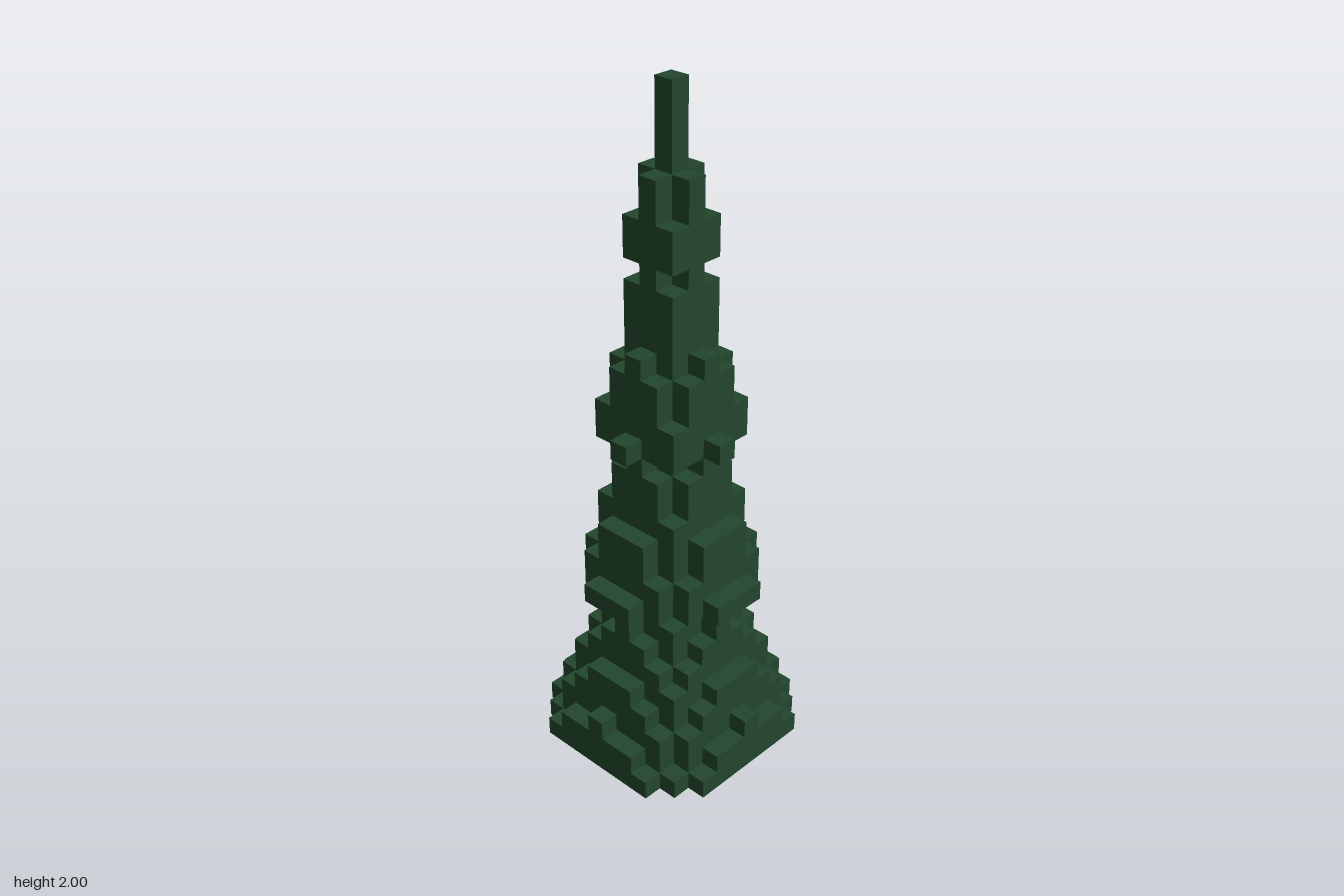
import * as THREE from 'three';
import { mergeGeometries } from 'three/addons/utils/BufferGeometryUtils.js';

const V = 2 / 39; // edge of one block
const TRUNK_LAYERS = 5;

// Disc radius, in blocks, of each foliage layer; one row per tier of branches
const TIERS = [
  [5.9, 5.49, 5.08, 4.67, 4.26, 3.85, 3.44, 3.03, 2.62],
  [4.15, 3.85, 3.55, 3.25, 2.95, 2.65, 2.35, 2.05],
  [3.1, 2.85, 2.6, 2.3, 2.05, 1.8, 1.6, 1.45, 1.05],
  [1.8, 1.55, 1.3, 1.05, 0.8, 0.6, 0.4, 0.2],
];

// Stepped outline of a disc made of whole blocks, one block thick
function blockDisc(radius, layer) {
  const n = Math.floor(radius);
  const right = [];
  for (let row = -n; row <= n; row++) {
    const half = Math.floor(Math.sqrt(radius * radius - row * row)) + 0.5;
    right.push([half, row - 0.5], [half, row + 0.5]);
  }
  const left = right.map(([x, y]) => [-x, y]).reverse();
  // drop repeated points and points along straight runs
  const loop = [...right, ...left].filter(([x, y], i, all) => {
    const [px, py] = all[(i + all.length - 1) % all.length];
    const [nx, ny] = all[(i + 1) % all.length];
    return !(px === x && nx === x) && !(py === y && ny === y);
  });
  const shape = new THREE.Shape(loop.map(([x, y]) => new THREE.Vector2(x * V, y * V)));
  return new THREE.ExtrudeGeometry(shape, { depth: V, bevelEnabled: false })
    .rotateX(-Math.PI / 2)
    .translate(0, layer * V, 0);
}

export function createModel() {
  const needles = new THREE.MeshStandardMaterial({ color: 0x22462d });
  needles.name = 'needle green';
  const bark = new THREE.MeshStandardMaterial({ color: 0x483424 });
  bark.name = 'bark brown';

  const tree = new THREE.Group();
  tree.name = 'blockTree';

  // Trunk, two blocks square and half a block off centre
  const trunk = new THREE.Mesh(new THREE.BoxGeometry(2 * V, TRUNK_LAYERS * V, 2 * V), bark);
  trunk.name = 'trunk';
  trunk.position.set(-V / 2, (TRUNK_LAYERS * V) / 2, -V / 2);
  tree.add(trunk);

  // Foliage tiers, each tapering upward, stacked on the trunk
  let layer = TRUNK_LAYERS;
  TIERS.forEach((radii, i) => {
    const discs = radii.map((r) => blockDisc(r, layer++));
    const tier = new THREE.Mesh(mergeGeometries(discs), needles);
    tier.name = `foliageTier${i + 1}`;
    tree.add(tier);
  });

  return tree;
}
